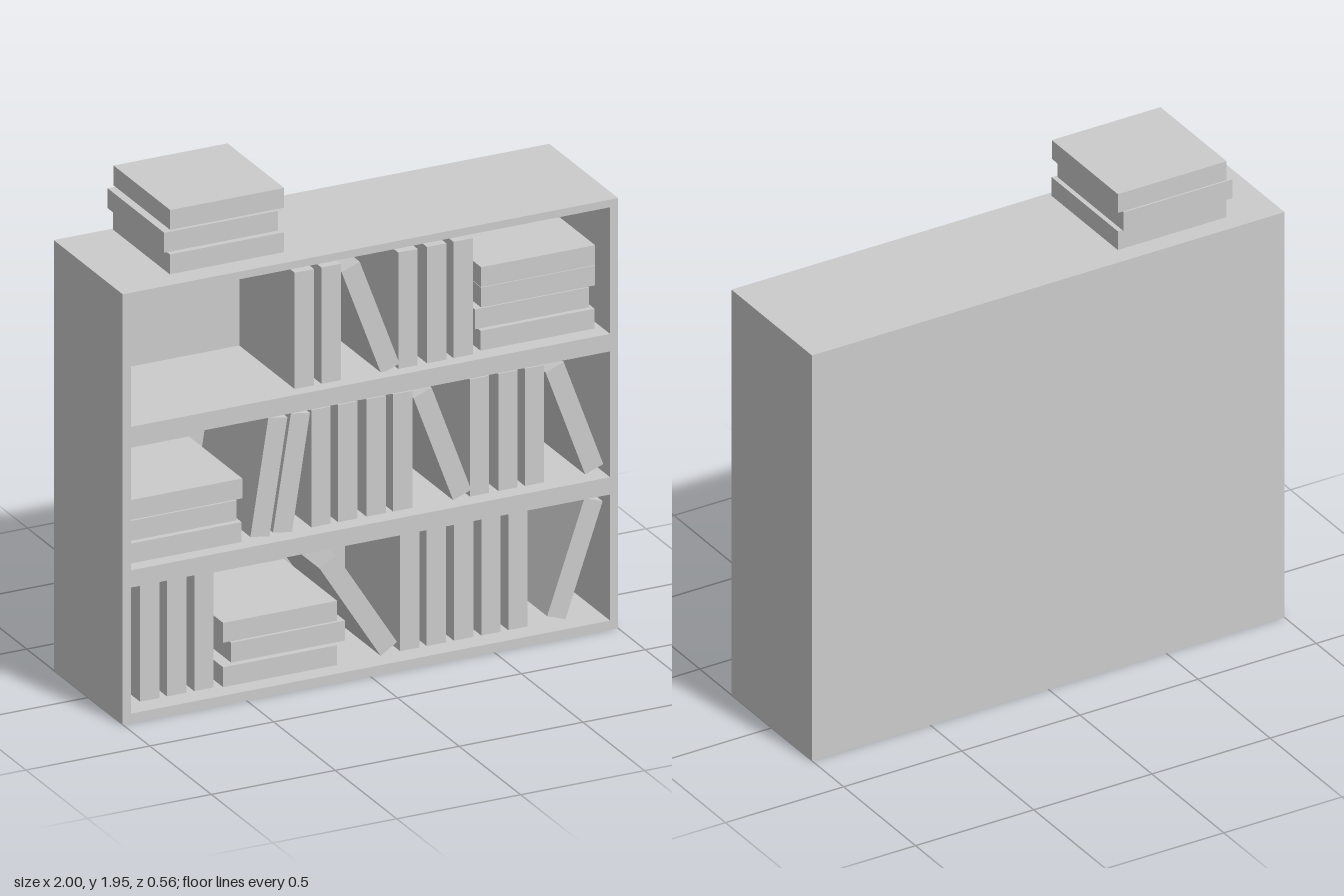
import * as THREE from 'three';

const HEIGHT = 1.69, DEPTH = 0.56, FRONT = DEPTH / 2;
const CAVITY = { half: 0.967, back: -0.22 };
const BOOK = { thick: 0.078, long: 0.46 };

const solid = new THREE.MeshStandardMaterial({ color: 0xcccccc, flatShading: true });
const sheet = new THREE.MeshStandardMaterial({ color: 0xcccccc, flatShading: true, side: THREE.DoubleSide });

// Compartments from bottom to top. Upright books: [x, y, lean]; piles: [x, y, z] per lying book.
const shelves = [
  {
    y0: 0.037, y1: 0.532, mid: 0.283,
    upright: [-0.866, -0.757, -0.647, 0.184, 0.291, 0.401, 0.511, 0.62],
    leaning: [[-0.024, 0.265, 0.565], [0.85, 0.283, -0.333]],
    pile: [[-0.34, 0.086, 0], [-0.3, 0.169, -0.015], [-0.331, 0.252, -0.017]],
  },
  {
    y0: 0.6, y1: 1.094, mid: 0.837,
    upright: [-0.175, -0.067, 0.048, 0.155, 0.465, 0.58, 0.687],
    leaning: [[-0.385, 0.837, -0.158], [-0.294, 0.837, -0.158], [0.315, 0.835, 0.355], [0.848, 0.835, 0.355]],
    pile: [[-0.725, 0.642, 0], [-0.738, 0.724, -0.015], [-0.714, 0.805, -0.017]],
  },
  {
    y0: 1.163, y1: 1.66, mid: 1.39,
    upright: [-0.242, -0.134, 0.176, 0.292, 0.399],
    leaning: [[0.025, 1.385, 0.357]],
    pile: [[0.699, 1.211, 0], [0.684, 1.292, -0.015], [0.71, 1.372, -0.017], [0.71, 1.452, -0.017]],
  },
];
const topPile = [[-0.555, 1.748, 0], [-0.57, 1.83, -0.015], [-0.545, 1.914, -0.017]];

// Box with some sides left out (0..5 = +x, -x, +y, -y, +z, -z)
function openBox(w, h, d, missing) {
  const g = new THREE.BoxGeometry(w, h, d);
  const index = Array.from(g.index.array);
  g.setIndex(index.filter((_, i) => !missing.includes(Math.floor(i / 6))));
  g.clearGroups();
  return g;
}

function add(parent, name, geometry, material, x, y, z) {
  const mesh = new THREE.Mesh(geometry, material);
  mesh.name = name;
  mesh.position.set(x, y, z);
  parent.add(mesh);
  return mesh;
}

function rectangle(Type, half, y0, y1) {
  return new Type([[-half, y0], [half, y0], [half, y1], [-half, y1]].map(p => new THREE.Vector2(...p)));
}

export function createModel() {
  const model = new THREE.Group();
  model.name = 'bookcase';

  // Outer case: open at the front and underneath
  const cabinet = new THREE.Group();
  cabinet.name = 'case';
  model.add(cabinet);
  add(cabinet, 'outerShell', openBox(2, HEIGHT, DEPTH, [3, 4]), sheet, 0, HEIGHT / 2, 0);

  // Front frame with one opening per compartment
  const frame = rectangle(THREE.Shape, 1, 0, HEIGHT);
  frame.holes = shelves.map(s => rectangle(THREE.Path, CAVITY.half, s.y0, s.y1));
  add(cabinet, 'frontFrame', new THREE.ShapeGeometry(frame), sheet, 0, 0, FRONT);

  const bookGeometry = new THREE.BoxGeometry(BOOK.thick, BOOK.long, BOOK.long);
  const lyingGeometry = new THREE.BoxGeometry(BOOK.long, BOOK.thick, BOOK.long);
  const addPile = (parent, pile) =>
    pile.forEach(([x, y, z]) => add(parent, 'lyingBook', lyingGeometry, solid, x, y, z));

  // Compartments and their books
  shelves.forEach((s, i) => {
    const h = s.y1 - s.y0, d = FRONT - CAVITY.back;
    add(cabinet, `compartment${i + 1}`, openBox(CAVITY.half * 2, h, d, [4]), sheet,
      0, (s.y0 + s.y1) / 2, (FRONT + CAVITY.back) / 2);

    const books = new THREE.Group();
    books.name = `shelfBooks${i + 1}`;
    model.add(books);
    s.upright.forEach(x => add(books, 'uprightBook', bookGeometry, solid, x, s.mid, 0));
    s.leaning.forEach(([x, y, lean]) => {
      add(books, 'leaningBook', bookGeometry, solid, x, y, 0).rotation.z = lean;
    });
    addPile(books, s.pile);
  });

  // Pile of books on top of the case
  const pile = new THREE.Group();
  pile.name = 'topPile';
  model.add(pile);
  addPile(pile, topPile);

  return model;
}
